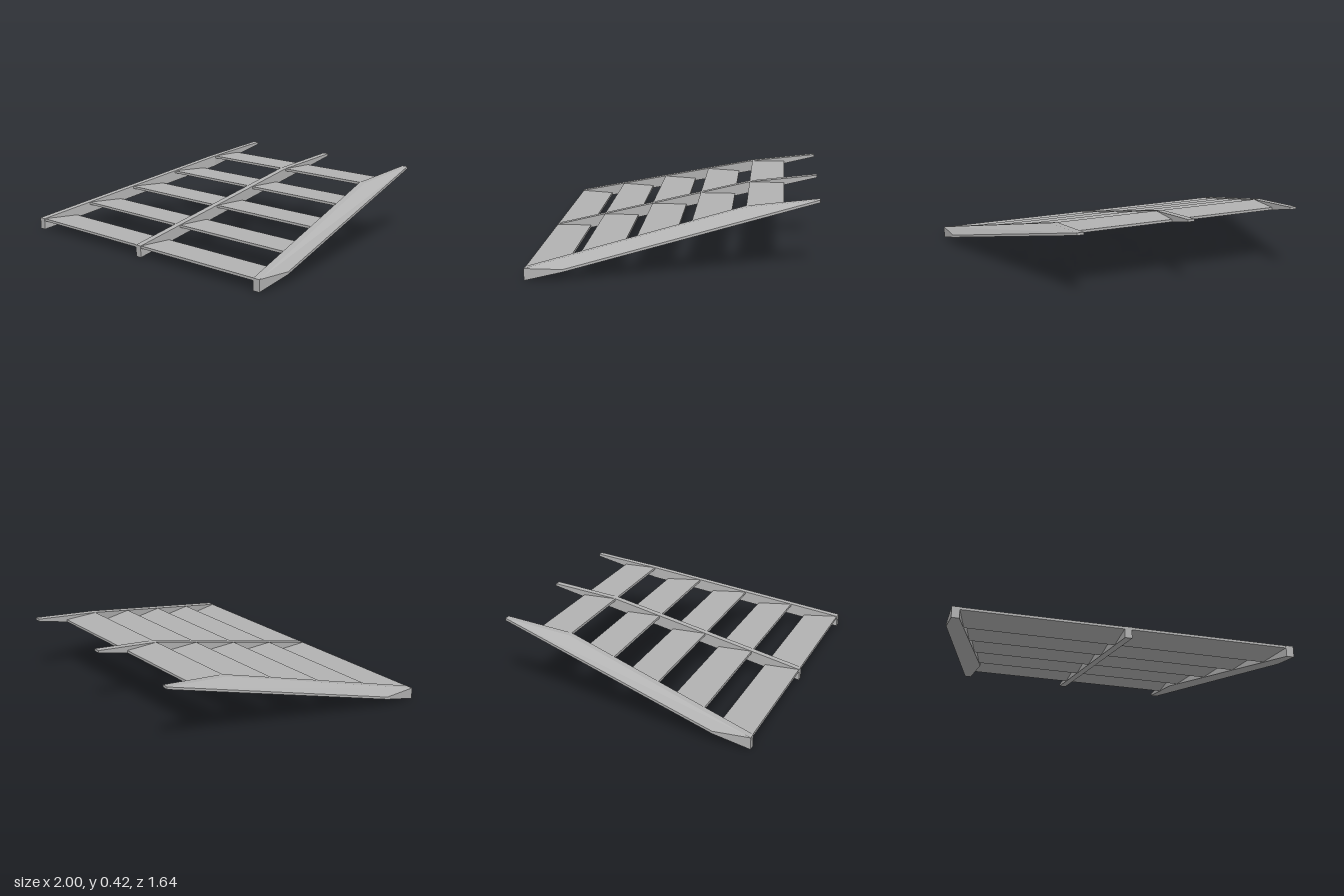
import * as THREE from 'three';
import { ConvexGeometry } from 'three/addons/geometries/ConvexGeometry.js';

export function createModel() {
  const group = new THREE.Group();
  const grey = new THREE.MeshStandardMaterial({ color: 0xb2b2b2 });
  grey.name = 'plain grey';

  const add = (name, geometry) => {
    const mesh = new THREE.Mesh(geometry, grey);
    mesh.name = name;
    group.add(mesh);
    return mesh;
  };

  // Treads: five level planks, each shorter and higher than the one in front
  const count = 5, thickness = 0.015, depth = 0.215;
  for (let i = 0; i < count; i++) {
    const t = i / (count - 1);
    const halfWidth = THREE.MathUtils.lerp(1, 0.691, t);
    const tread = add(`tread${i + 1}`, new THREE.BoxGeometry(halfWidth * 2, thickness, depth));
    tread.position.set(0, 0.0625 + 0.3 * t, 0.8175 - depth / 2 - 1.22 * t);
  }

  // Side profiles as [z, y]: foot of the beam, then its head
  const foot = [[0.82, 0], [0.82, 0.07], [0.6, 0.07], [0.6, 0.055]];
  const head = [[-0.4, 0.301], [-0.4, 0.37], [-0.82, 0.42], [-0.82, 0.405]];

  // Side beams: skewed bars that lean inward as they climb
  for (const [side, name] of [[1, 'leftStringer'], [-1, 'rightStringer']]) {
    const points = [];
    for (const [profile, outer, inner] of [[foot, 1, 0.955], [head, 0.69, 0.65]]) {
      for (const [z, y] of profile) {
        points.push(new THREE.Vector3(side * outer, y, z), new THREE.Vector3(side * inner, y, z));
      }
    }
    add(name, new ConvexGeometry(points));
  }

  // Middle beam: the same side profile, running straight
  const outline = [foot[0], foot[1], head[1], head[2], head[3]];
  const shape = new THREE.Shape(outline.map(([z, y]) => new THREE.Vector2(-z, y)));
  const middle = new THREE.ExtrudeGeometry(shape, { depth: 0.042, bevelEnabled: false });
  middle.translate(0, 0, -0.021);
  middle.rotateY(Math.PI / 2);
  add('middleStringer', middle);

  return group;
}
